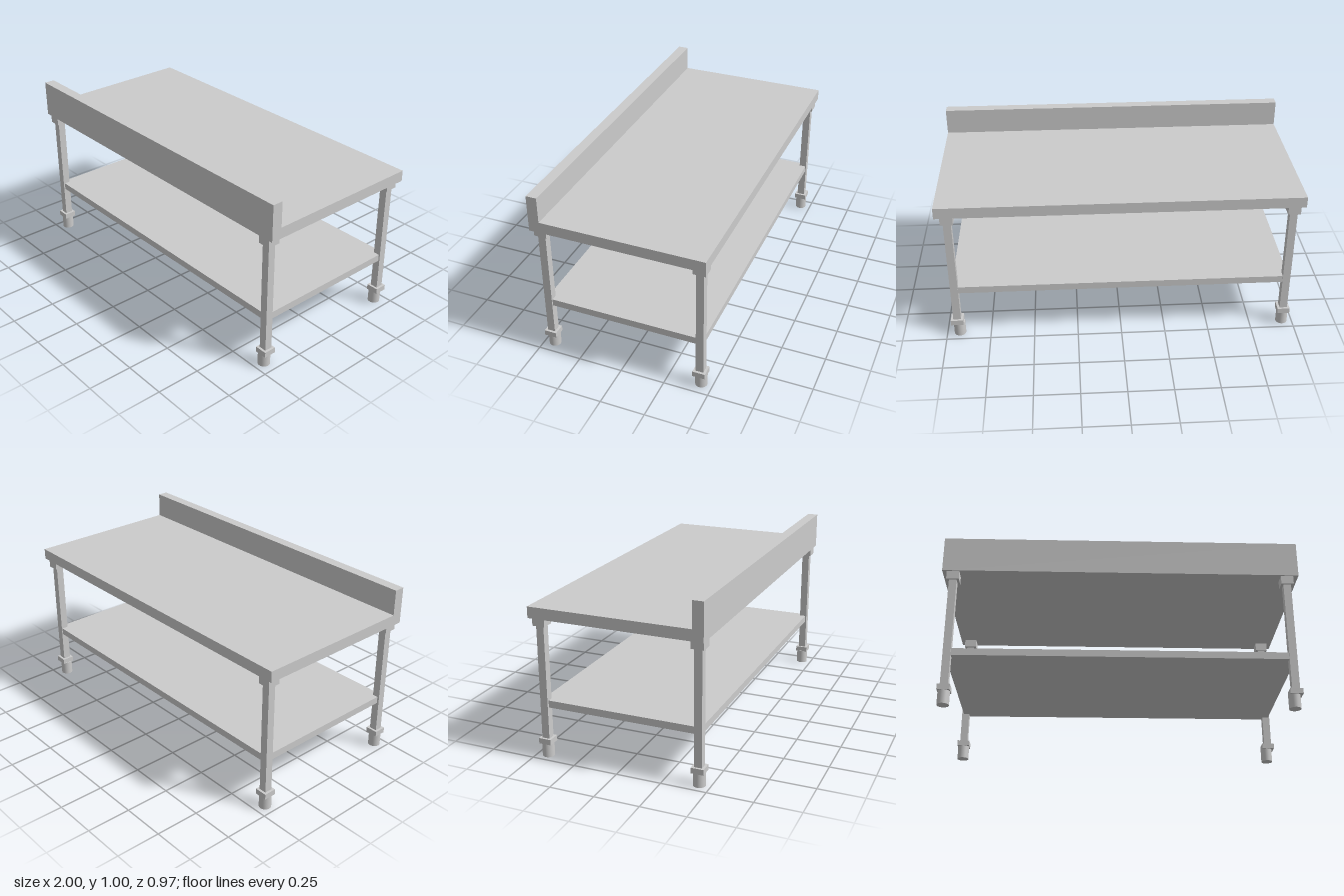
import * as THREE from 'three';

const material = new THREE.MeshStandardMaterial({ color: 0xcccccc });

export function createModel() {
  const model = new THREE.Group();
  model.name = 'workTable';

  const add = (parent, name, geometry, x, y, z) => {
    const mesh = new THREE.Mesh(geometry, material);
    mesh.name = name;
    mesh.position.set(x, y, z);
    parent.add(mesh);
    return mesh;
  };
  // Box given by width, depth and its bottom and top heights
  const block = (parent, name, w, d, y0, y1, x = 0, z = 0) =>
    add(parent, name, new THREE.BoxGeometry(w, y1 - y0, d), x, (y0 + y1) / 2, z);

  // Worktop with upstand: one L profile (z, y) extruded along the length
  const profile = new THREE.Shape([
    [-0.483, 0.793], [0.483, 0.793], [0.483, 1],
    [0.423, 1], [0.423, 0.855], [-0.483, 0.855],
  ].map(([z, y]) => new THREE.Vector2(-z, y)));
  const top = new THREE.ExtrudeGeometry(profile, { depth: 2, bevelEnabled: false });
  top.rotateY(Math.PI / 2);
  add(model, 'worktopWithUpstand', top, -1, 0, 0);

  // Lower shelf, its corners running into the legs
  block(model, 'lowerShelf', 1.9, 0.908, 0.286, 0.326);

  // Four legs, each with a top bracket, a collar and a round foot
  for (const x of [-0.94, 0.936]) {
    for (const z of [-0.437, 0.44]) {
      const leg = new THREE.Group();
      leg.name = (z > 0 ? 'front' : 'back') + (x > 0 ? 'Left' : 'Right') + 'Leg';
      leg.position.set(x, 0, z);
      block(leg, 'post', 0.043, 0.043, 0.1, 0.75);
      block(leg, 'topBracket', 0.07, 0.07, 0.745, 0.793);
      block(leg, 'collar', 0.07, 0.07, 0.077, 0.108);
      const footX = x > 0 ? -0.009 : 0;
      add(leg, 'foot', new THREE.CylinderGeometry(0.033, 0.033, 0.08, 32), footX, 0.04, 0);
      model.add(leg);
    }
  }
  return model;
}
